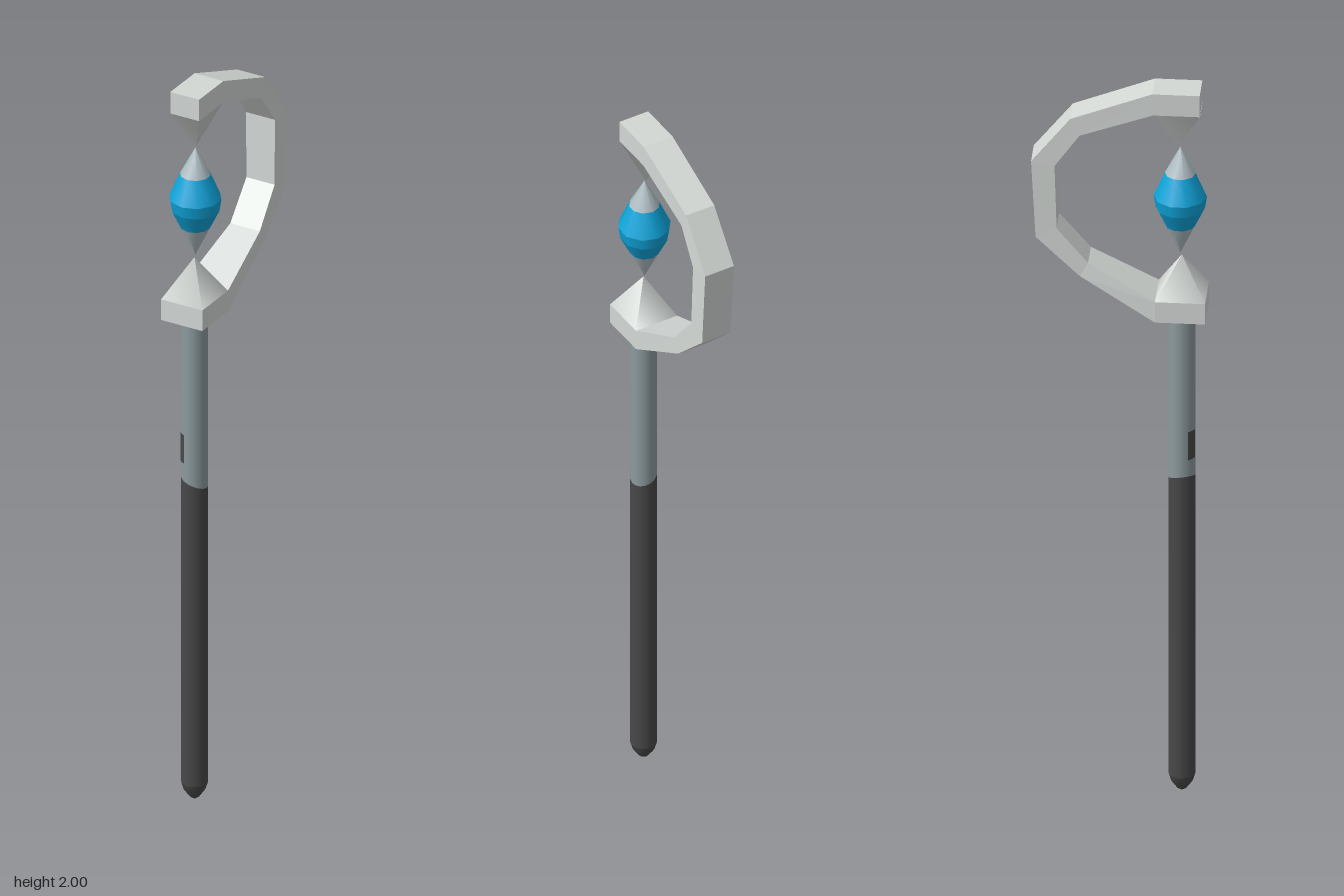
import * as THREE from 'three';

const mat = (name, color, extra = {}) => Object.assign(new THREE.MeshStandardMaterial({ color, ...extra }), { name });

export function createModel() {
  const group = new THREE.Group();
  const silver = mat('silver', 0xd3d8d5);
  const steel = mat('steel', 0x8c9a9e);
  const grip = mat('dark grip', 0x484848);
  const blue = mat('blue crystal', 0x0da4da);
  const pale = mat('pale crystal tip', 0xaebdc3);

  const add = (name, geometry, material, y = 0, z = 0) => {
    const mesh = new THREE.Mesh(geometry, material);
    mesh.name = name;
    mesh.position.set(0, y, z);
    group.add(mesh);
    return mesh;
  };
  const lathe = (pts, sides) => new THREE.LatheGeometry(pts.map(p => new THREE.Vector2(...p)), sides);

  // Shaft: dark lower grip with a blunt tip, steel upper half, slightly slanted border
  const R = 0.034, SZ = 0.156, BORDER = 0.895;
  const slant = geometry => {
    const p = geometry.attributes.position;
    for (let i = 0; i < p.count; i++) {
      if (Math.abs(p.getY(i) - BORDER) < 1e-4) p.setY(i, BORDER - 0.35 * p.getX(i) + 0.15 * p.getZ(i));
    }
    return geometry;
  };
  add('shaftTip', lathe([[0, 0], [0.013, 0.009], [0.028, 0.03], [R, 0.05]], 16), grip, 0, SZ);
  add('lowerShaft', slant(lathe([[R, 0.05], [R, BORDER]], 16)), grip, 0, SZ);
  add('upperShaft', slant(lathe([[R, BORDER], [R, 1.365]], 16)), steel, 0, SZ);
  // Small dark patch on the front of the shaft
  add('shaftPatch', new THREE.CylinderGeometry(R + 0.001, R + 0.001, 0.08, 5, 1, true, -1.05, 0.75), grip, 0.995, SZ);

  // Hook: rectangular cross-sections [outer z, outer y, inner z, inner y, x min, x max]
  const rings = [
    [0.219, 1.36, 0.219, 1.418, -0.06, 0.06],
    [0.093, 1.36, 0.093, 1.418, -0.06, 0.06],
    [-0.098, 1.47, -0.077, 1.508, -0.034, 0.052],
    [-0.209, 1.577, -0.156, 1.603, -0.034, 0.048],
    [-0.22, 1.794, -0.161, 1.783, -0.038, 0.046],
    [-0.121, 1.92, -0.098, 1.873, -0.04, 0.042],
    [0.085, 2.0, 0.087, 1.94, -0.042, 0.042],
    [0.204, 2.0, 0.204, 1.94, -0.042, 0.042],
  ].map(([oz, oy, iz, iy, x0, x1]) => [[x0, oy, oz], [x1, oy, oz], [x1, iy, iz], [x0, iy, iz]]);
  const verts = [];
  const quad = (a, b, c, d) => verts.push(...a, ...b, ...c, ...a, ...c, ...d);
  for (let i = 0; i < rings.length - 1; i++) {
    for (let k = 0; k < 4; k++) {
      const n = (k + 1) % 4;
      quad(rings[i][k], rings[i + 1][k], rings[i + 1][n], rings[i][n]);
    }
  }
  quad(...rings[0]);
  quad(...[...rings[rings.length - 1]].reverse());
  const hook = new THREE.BufferGeometry();
  hook.setAttribute('position', new THREE.Float32BufferAttribute(verts, 3));
  hook.computeVertexNormals();
  add('hook', hook, silver);

  // Four-sided spikes holding the crystal from above and below
  const spike = (w, h, d) => new THREE.ConeGeometry(Math.SQRT1_2, 1, 4, 1).rotateY(Math.PI / 4).scale(w, h, d);
  add('lowerSpike', spike(0.12, 0.107, 0.126), silver, 1.4715, 0.156);
  add('upperSpike', spike(0.084, 0.104, 0.117).rotateX(Math.PI), silver, 1.888, 0.146);

  // Floating crystal: ten-sided double cone, blue in the middle with pale tips
  const CZ = 0.152;
  add('crystalLowerTip', lathe([[0, 1.53], [0.038, 1.61]], 10), pale, 0, CZ);
  add('crystalLower', lathe([[0.038, 1.61], [0.062, 1.66]], 10), blue, 0, CZ);
  add('crystalGirdle', lathe([[0.062, 1.66], [0.067, 1.692]], 10), blue, 0, CZ);
  add('crystalUpper', lathe([[0.067, 1.692], [0.039, 1.757]], 10), blue, 0, CZ);
  add('crystalUpperTip', lathe([[0.039, 1.757], [0, 1.832]], 10), pale, 0, CZ);

  return group;
}
